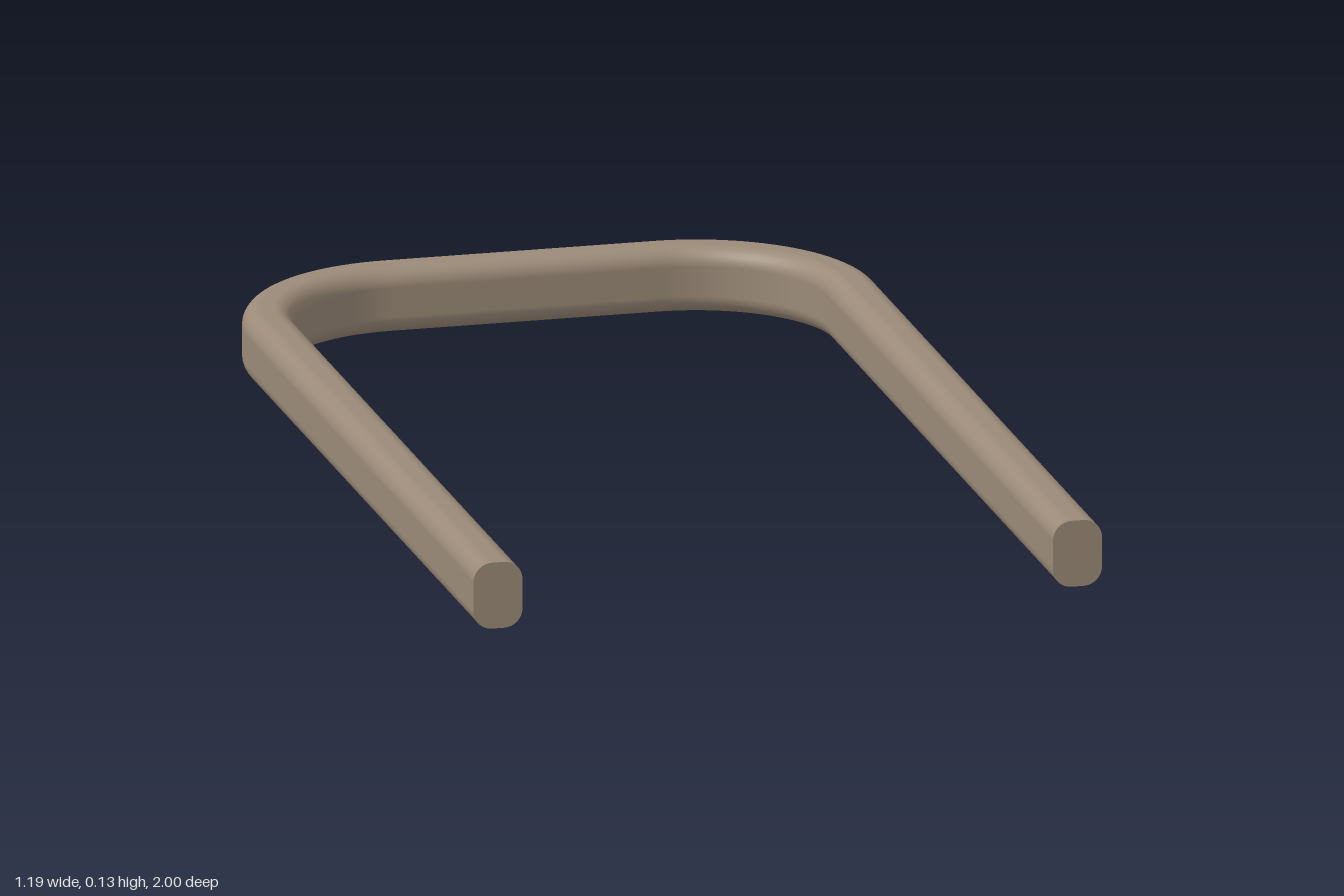
import * as THREE from 'three';

const W = 0.093, H = 0.126, R = 0.035;   // bar section width, height, corner radius
const LEG_X = 0.5495, BACK_Z = -0.9535;  // bar centre line
const BEND = 0.295;                      // centre-line bend radius
const CORNER_STEPS = 8, BEND_STEPS = 24;

// Rounded rectangle, counter-clockwise, with outward normals
function barSection() {
  const points = [];
  const corners = [[1, 1], [-1, 1], [-1, -1], [1, -1]];
  corners.forEach(([sx, sy], k) => {
    for (let i = 0; i <= CORNER_STEPS; i++) {
      const a = (k + i / CORNER_STEPS) * Math.PI / 2;
      const nu = Math.cos(a), nv = Math.sin(a);
      points.push({ u: sx * (W / 2 - R) + R * nu, v: H / 2 + sy * (H / 2 - R) + R * nv, nu, nv });
    }
  });
  return points;
}

// Centre line of the U: leg, bend, back, bend, leg, with the outward direction
function barPath() {
  const path = [{ x: LEG_X, z: 1, nx: 1, nz: 0 }];
  for (const side of [1, -1]) {
    for (let i = 0; i <= BEND_STEPS; i++) {
      const a = ((side > 0 ? 0 : 1) + i / BEND_STEPS) * Math.PI / 2;
      const nx = Math.cos(a), nz = -Math.sin(a);
      path.push({ x: side * (LEG_X - BEND) + BEND * nx, z: BACK_Z + BEND + BEND * nz, nx, nz });
    }
  }
  path.push({ x: -LEG_X, z: 1, nx: -1, nz: 0 });
  return path;
}

function sweep(path, section) {
  const positions = [], normals = [], index = [], n = section.length;
  path.forEach((p, i) => {
    section.forEach((s, j) => {
      positions.push(p.x + p.nx * s.u, s.v, p.z + p.nz * s.u);
      normals.push(p.nx * s.nu, s.nv, p.nz * s.nu);
      if (i === path.length - 1) return;
      const a = i * n + j, b = i * n + (j + 1) % n;
      index.push(a, a + n, b + n, a, b + n, b);
    });
  });
  const geometry = new THREE.BufferGeometry();
  geometry.setAttribute('position', new THREE.Float32BufferAttribute(positions, 3));
  geometry.setAttribute('normal', new THREE.Float32BufferAttribute(normals, 3));
  geometry.setIndex(index);
  return geometry;
}

export function createModel() {
  const group = new THREE.Group();
  group.name = 'uShapedBar';
  const material = new THREE.MeshStandardMaterial({ color: 0x9b8a78 });
  const section = barSection();

  // Bent bar
  const bar = new THREE.Mesh(sweep(barPath(), section), material);
  bar.name = 'bentBar';
  group.add(bar);

  // Flat ends of both legs
  const endShape = new THREE.Shape(section.map(s => new THREE.Vector2(s.u, s.v)));
  for (const side of [1, -1]) {
    const end = new THREE.Mesh(new THREE.ShapeGeometry(endShape), material);
    end.name = side > 0 ? 'leftLegEnd' : 'rightLegEnd';
    end.position.set(side * LEG_X, 0, 1);
    group.add(end);
  }
  return group;
}
